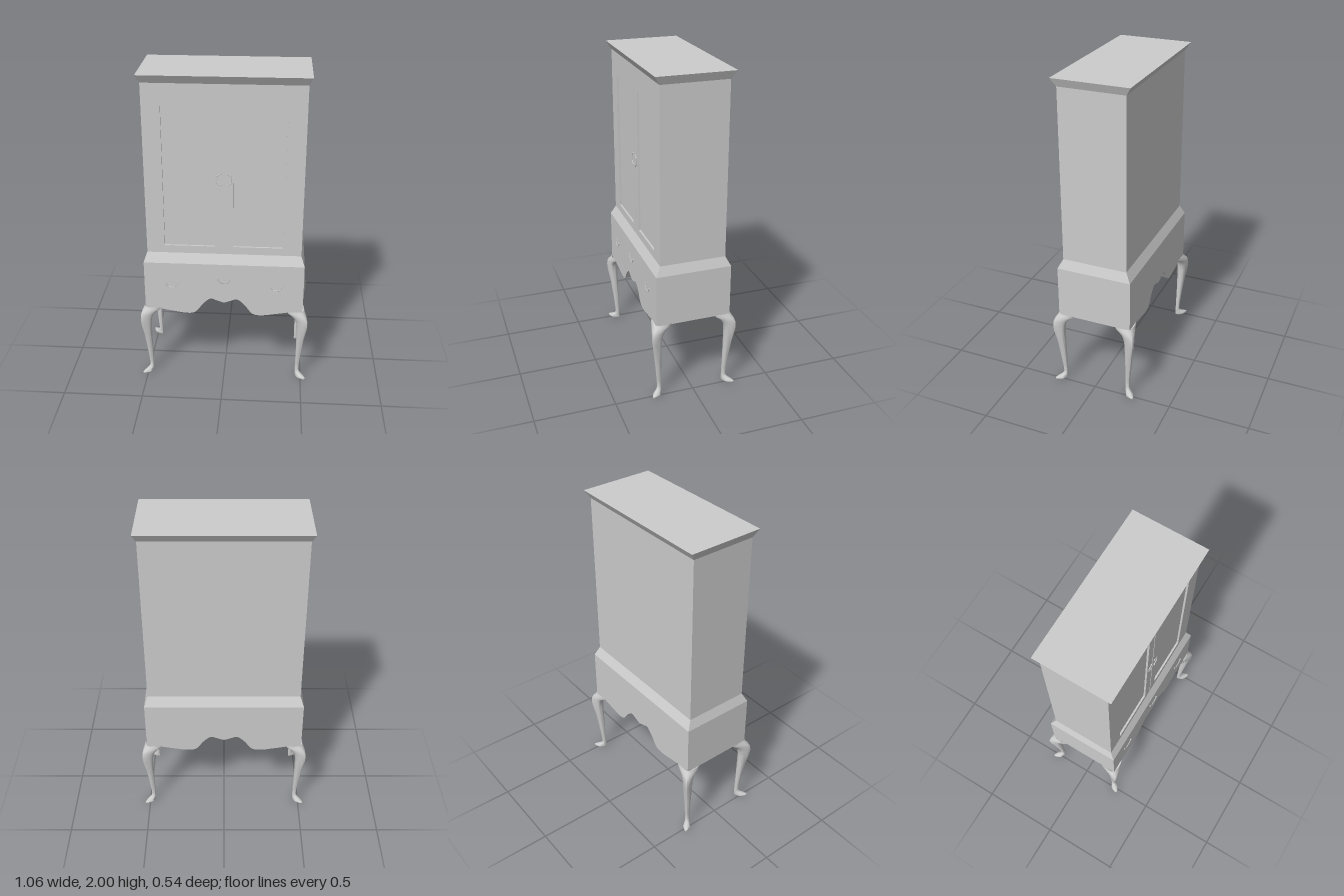
import * as THREE from 'three';
import { toCreasedNormals } from 'three/addons/utils/BufferGeometryUtils.js';

const material = new THREE.MeshStandardMaterial({ color: 0xcccccc, side: THREE.DoubleSide });
const W = 0.497, D = 0.235;      // half width and depth of the base and cornice
const UW = 0.475, UD = 0.204;    // half width and depth of the upper case
const RECESS = 0.012;

function add(parent, name, geometry, x = 0, y = 0, z = 0) {
  const mesh = new THREE.Mesh(geometry, material);
  mesh.name = name;
  mesh.position.set(x, y, z);
  parent.add(mesh);
  return mesh;
}

// Box whose bottom and top rectangles differ (half sizes given)
function taperedBox(y0, y1, w0, d0, w1, d1) {
  const g = new THREE.BoxGeometry(2, 1, 2);
  const p = g.attributes.position;
  for (let i = 0; i < p.count; i++) {
    const top = p.getY(i) > 0;
    p.setXYZ(i, p.getX(i) * (top ? w1 : w0), top ? y1 : y0, p.getZ(i) * (top ? d1 : d0));
  }
  g.computeVertexNormals();
  return g;
}

function rectangle(Type, x0, x1, y0, y1) {
  const r = new Type();
  r.moveTo(x0, y0).lineTo(x1, y0).lineTo(x1, y1).lineTo(x0, y1).closePath();
  return r;
}

// Lower case with a scalloped apron running through its whole depth
function apronGeometry() {
  const half = [[0.407, 0.493], [0.33, 0.479], [0.238, 0.465], [0.18, 0.476],
    [0.13, 0.538], [0.085, 0.575], [0.045, 0.565]];
  const points = [...half.map(([x, y]) => new THREE.Vector2(-x, y)), new THREE.Vector2(0, 0.551),
    ...half.map(([x, y]) => new THREE.Vector2(x, y)).reverse()];
  const shape = new THREE.Shape();
  shape.moveTo(-W, 0.82);
  shape.lineTo(-W, 0.493);
  shape.lineTo(-0.407, 0.493);
  shape.splineThru(points.slice(1));
  shape.lineTo(W, 0.493);
  shape.lineTo(W, 0.82);
  shape.closePath();
  const g = new THREE.ExtrudeGeometry(shape, { depth: 2 * D, bevelEnabled: false, curveSegments: 56 });
  g.translate(0, 0, -D);
  return toCreasedNormals(g, 0.5);
}

// Door front: two sunk panels and the gap between the doors
function doorGeometry() {
  const shape = rectangle(THREE.Shape, -UW, UW, 0.88, 1.95);
  shape.holes.push(
    rectangle(THREE.Path, -0.365, -0.058, 0.93, 1.815),
    rectangle(THREE.Path, 0.058, 0.365, 0.93, 1.815),
    rectangle(THREE.Path, -0.003, 0.003, 0.882, 1.86));
  return new THREE.ExtrudeGeometry(shape, { depth: RECESS, bevelEnabled: false });
}

// Cabriole leg lofted through sections symmetric about the corner diagonal.
// Each row: height, outer tip, wing inner reach, wing outer offset, inner point
function legGeometry() {
  const rows = [
    [0.5, 0, -0.097, 0, -0.055], [0.485, 0.008, -0.09, 0.002, -0.05],
    [0.47, 0.02, -0.068, 0.006, -0.043], [0.45, 0.028, -0.048, 0.009, -0.034],
    [0.42, 0.031, -0.034, 0.012, -0.028], [0.38, 0.028, -0.028, 0.014, -0.026],
    [0.3, 0.014, -0.027, 0.009, -0.027], [0.2, 0.002, -0.028, 0, -0.028],
    [0.1, -0.008, -0.03, -0.008, -0.03], [0.05, -0.012, -0.031, -0.012, -0.031],
    [0.032, -0.003, -0.029, -0.008, -0.031], [0.02, 0.018, -0.022, 0.006, -0.031],
    [0.012, 0.031, -0.016, 0.016, -0.031], [0.005, 0.031, -0.016, 0.016, -0.031],
    [0, 0.025, -0.013, 0.012, -0.028], [0, 0, 0, 0, 0]];
  const N = 20, position = [], index = [];
  rows.forEach(([y, tip, reach, wing, inner], r) => {
    const curve = new THREE.CatmullRomCurve3([[tip, tip], [reach, wing], [inner, inner], [wing, reach]]
      .map(([x, z]) => new THREE.Vector3(x, y, z)), true);
    for (let j = 0; j < N; j++) {
      const v = r === rows.length - 1 ? new THREE.Vector3() : curve.getPoint(j / N);
      position.push(v.x, v.y, v.z);
      if (r === 0) continue;
      const k = (j + 1) % N, a = (r - 1) * N, b = r * N;
      index.push(a + j, a + k, b + j, a + k, b + k, b + j);
    }
  });
  const g = new THREE.BufferGeometry();
  g.setAttribute('position', new THREE.Float32BufferAttribute(position, 3));
  g.setIndex(index);
  return toCreasedNormals(g, 0.9);
}

// Bail pull: two posts and a drooping bar, hanging toward -y
function pull(name, span, drop) {
  const group = new THREE.Group();
  group.name = name;
  const path = new THREE.CurvePath();
  const pts = [[-span, 0], [-span * 0.85, -drop * 0.35], [-span * 0.55, -drop], [span * 0.55, -drop],
    [span * 0.85, -drop * 0.35], [span, 0]].map(([x, y]) => new THREE.Vector3(x, y, 0.004));
  for (let i = 1; i < pts.length; i++) path.add(new THREE.LineCurve3(pts[i - 1], pts[i]));
  add(group, 'bail', new THREE.TubeGeometry(path, 30, 0.0032, 6));
  for (const s of [-1, 1]) {
    const post = new THREE.CylinderGeometry(0.005, 0.005, 0.01, 8).rotateX(Math.PI / 2);
    add(group, 'post', post, s * span, 0, 0.003);
  }
  return group;
}

export function createModel() {
  const model = new THREE.Group();
  model.name = 'cabinetOnStand';

  // Case
  add(model, 'lowerCase', apronGeometry());
  add(model, 'waistMoulding', taperedBox(0.82, 0.88, W, D, UW, UD));
  const depth = 2 * UD - RECESS;
  add(model, 'upperCase', new THREE.BoxGeometry(2 * UW, 1.07, depth), 0, 1.415, -RECESS / 2);
  add(model, 'doors', doorGeometry(), 0, 0, UD - RECESS);
  add(model, 'cornice', taperedBox(1.95, 2, UW, UD, W, D));

  // Legs, each turned to face its own corner
  const leg = legGeometry();
  [[1, 1], [1, -1], [-1, -1], [-1, 1]].forEach(([sx, sz], i) => {
    add(model, 'leg', leg, sx * W, 0, sz * D).rotation.y = i * Math.PI / 2;
  });

  // Drawer pulls
  for (const [x, y] of [[-0.327, 0.68], [0, 0.72], [0.327, 0.68]]) {
    const p = pull('drawerPull', 0.038, 0.028);
    p.position.set(x, y, D);
    model.add(p);
  }

  // Door pulls, bowing away from the gap
  for (const s of [-1, 1]) {
    const p = pull('doorPull', 0.037, 0.028);
    p.position.set(s * 0.017, 1.375, UD);
    p.rotation.z = s * Math.PI / 2;
    model.add(p);
  }
  return model;
}
